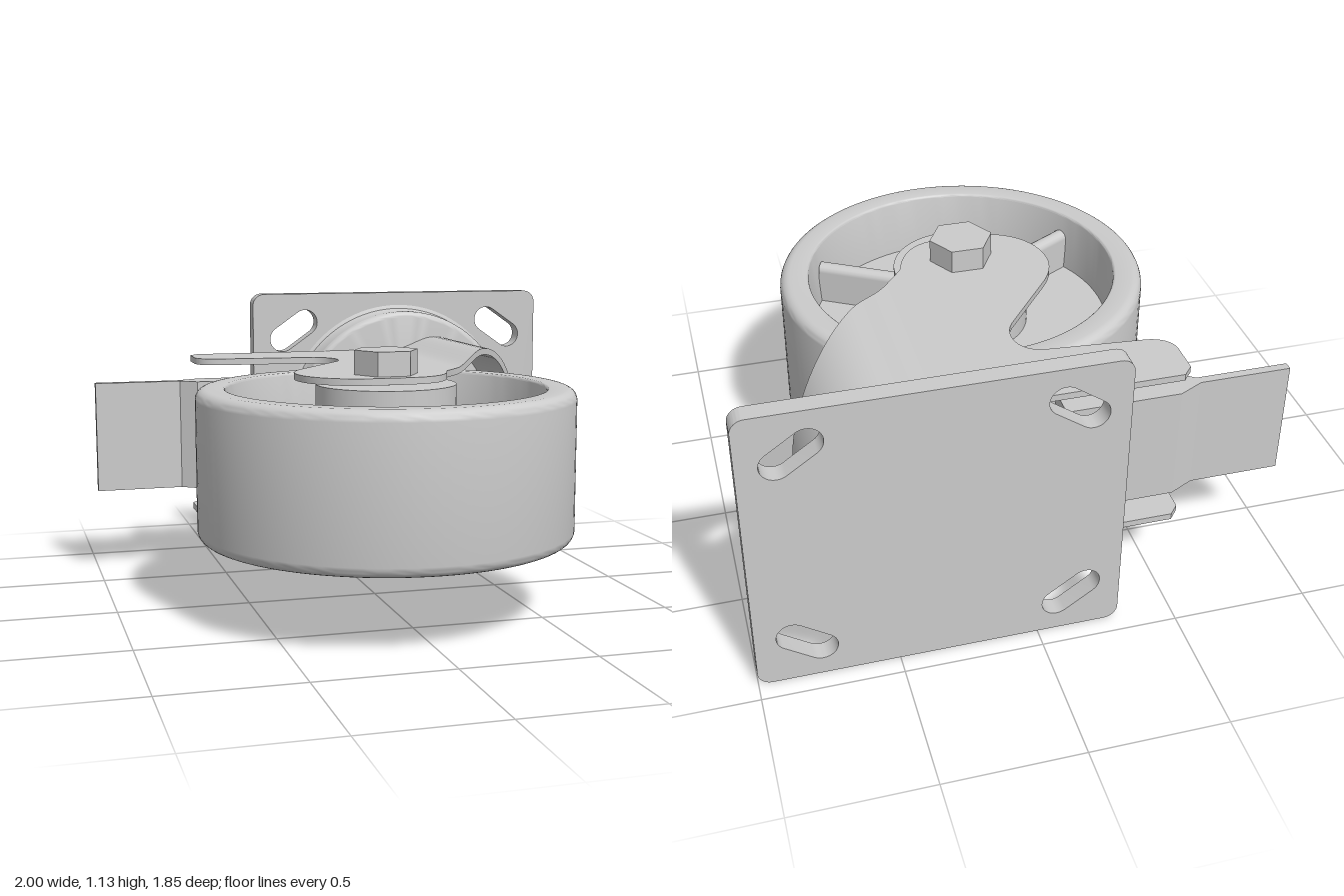
import * as THREE from 'three';
import { toCreasedNormals } from 'three/addons/utils/BufferGeometryUtils.js';

const MID = 0.565;                 // height of the symmetry plane
const AXLE = { x: -0.02, z: 0.22 };
const BACK = -0.74;                // rear edge of the fork
const SHEET = 0.025;

export function createModel() {
  const model = new THREE.Group();
  const material = new THREE.MeshStandardMaterial({ color: 0xcccccc });

  const add = (name, geometry, x = 0, y = 0, z = 0, parent = model) => {
    const mesh = new THREE.Mesh(geometry, material);
    mesh.name = name;
    mesh.position.set(x, y, z);
    parent.add(mesh);
    return mesh;
  };
  const lathe = (points, segments = 96) => toCreasedNormals(
    new THREE.LatheGeometry(points.map(p => new THREE.Vector2(...p)), segments), 0.6);
  // Quarter round from angle a0 to a1 (degrees)
  const arc = (cx, cy, r, a0, a1, n = 6) => Array.from({ length: n + 1 }, (_, i) => {
    const a = THREE.MathUtils.degToRad(a0 + (a1 - a0) * i / n);
    return [cx + r * Math.cos(a), cy + r * Math.sin(a)];
  });

  // Mounting plate with four slanted slots
  const w = 0.65, h = 0.565, r = 0.05;
  const plate = new THREE.Shape();
  plate.absarc(w - r, h - r, r, 0, Math.PI / 2);
  plate.absarc(-w + r, h - r, r, Math.PI / 2, Math.PI);
  plate.absarc(-w + r, -h + r, r, Math.PI, Math.PI * 1.5);
  plate.absarc(w - r, -h + r, r, Math.PI * 1.5, Math.PI * 2);
  for (const sx of [-1, 1]) for (const sy of [-1, 1]) {
    const cx = 0.47 * sx, cy = 0.405 * sy, dx = 0.05, dy = -0.035 * sx * sy;
    const a = Math.atan2(dy, dx), slot = new THREE.Path();
    slot.absarc(cx + dx, cy + dy, 0.055, a - Math.PI / 2, a + Math.PI / 2);
    slot.absarc(cx - dx, cy - dy, 0.055, a + Math.PI / 2, a + Math.PI * 1.5);
    slot.closePath();
    plate.holes.push(slot);
  }
  add('mountingPlate', toCreasedNormals(new THREE.ExtrudeGeometry(plate,
    { depth: 0.07, bevelEnabled: false, curveSegments: 10 }), 0.6), 0.35, MID, -0.93);

  // Swivel bearing
  add('swivelBearing', lathe([[0, 0], [0.51, 0], [0.495, 0.005], [0.487, 0.02],
    ...arc(0.462, 0.095, 0.025, 0, 90), [0, 0.12]]), 0.35, MID, -0.86).rotation.x = Math.PI / 2;

  // Fork: two flat cheeks
  const fork = new THREE.Group();
  fork.name = 'fork';
  model.add(fork);
  const cutZ = x => -0.48 + (0.77 - x) * 1.228;   // slanted front edge
  const cheek = new THREE.Shape();
  cheek.moveTo(0.3, BACK);
  cheek.lineTo(0.3, cutZ(0.3));
  cheek.lineTo(0.23, cutZ(0.23));
  cheek.bezierCurveTo(0.19, 0.32, 0.13, 0.37, 0.02, 0.372);
  cheek.lineTo(-0.1, 0.372);
  cheek.bezierCurveTo(-0.24, 0.37, -0.34, 0.27, -0.34, 0.13);
  cheek.quadraticCurveTo(-0.34, 0.05, -0.28, -0.03);
  cheek.lineTo(-0.08, -0.28);
  cheek.bezierCurveTo(-0.03, -0.35, -0.05, -0.46, -0.15, -0.47);
  cheek.lineTo(-0.51, -0.503);
  cheek.quadraticCurveTo(-0.59, -0.515, -0.6, -0.58);
  cheek.lineTo(-0.6, -0.7);
  cheek.lineTo(-0.565, BACK);
  cheek.closePath();
  const cheekGeometry = toCreasedNormals(new THREE.ExtrudeGeometry(cheek,
    { depth: SHEET, bevelEnabled: false, curveSegments: 12 }).rotateX(Math.PI / 2), 0.6);
  add('upperCheek', cheekGeometry, 0, 0.89, 0, fork);
  add('lowerCheek', cheekGeometry, 0, 0.24 + SHEET, 0, fork);

  // Fork: bulged neck joining the cheeks, as outer/inner point pairs
  const half = [];
  for (let i = 0; i <= 12; i++) {
    const t = i / 12, x = 0.3 + 0.18 * t, y = 0.325 + 0.05 * t * t * (3 - 2 * t);
    half.push([x, y, x, y - SHEET]);
  }
  for (let i = 1; i <= 24; i++) {
    const a = Math.PI / 2 * (1 - i / 24), c = Math.cos(a), s = Math.sin(a);
    half.push([0.48 + 0.29 * c, 0.375 * s, 0.48 + 0.265 * c, 0.35 * s]);
  }
  const path = [...half, ...half.slice(0, -1).reverse().map(([a, b, c, d]) => [a, -b, c, -d])];
  const position = [], index = [];
  path.forEach(([ox, oy, ix, iy], i) => {
    position.push(ox, oy, BACK, ox, oy, cutZ(ox), ix, iy, cutZ(ix), ix, iy, BACK);
    if (i === path.length - 1) return;
    for (let k = 0; k < 4; k++) {
      const a = i * 4 + k, b = i * 4 + (k + 1) % 4;
      index.push(a, b, b + 4, a, b + 4, a + 4);
    }
  });
  const neck = new THREE.BufferGeometry();
  neck.setAttribute('position', new THREE.Float32BufferAttribute(position, 3));
  neck.setIndex(index);
  add('neck', toCreasedNormals(neck, 0.6), 0, MID, 0, fork);

  // Wheel: tread, rim, web and hub in one turned profile
  const wheel = new THREE.Group();
  wheel.name = 'wheel';
  wheel.position.set(AXLE.x, MID, AXLE.z);
  model.add(wheel);
  const top = [...arc(0.66, 0.24, 0.04, 0, 90), ...arc(0.6, 0.27, 0.01, 90, 180, 3),
    [0.575, 0.05], [0.26, 0.05], [0.26, 0.29], [0, 0.29]];
  const bottom = top.map(([x, y]) => [x, -y]).reverse();
  add('tyreAndRim', lathe([...bottom, ...top]), 0, 0, 0, wheel);

  // Three round-topped ribs on each side of the web
  for (const angle of [30, 150, 270]) {
    const spoke = new THREE.Group();
    spoke.name = 'rib';
    spoke.rotation.y = -THREE.MathUtils.degToRad(angle);
    wheel.add(spoke);
    add('ribWall', new THREE.BoxGeometry(0.33, 0.36, 0.06), 0.415, 0, 0, spoke);
    for (const side of [-1, 1]) {
      add('ribEdge', new THREE.CylinderGeometry(0.03, 0.03, 0.33, 16),
        0.415, 0.18 * side, 0, spoke).rotation.z = Math.PI / 2;
    }
  }

  // Axle bolt with hexagonal ends
  add('axle', new THREE.CylinderGeometry(0.07, 0.07, 0.7, 32), AXLE.x, MID, AXLE.z);
  for (const side of [-1, 1]) {
    const hex = new THREE.CylinderGeometry(0.122, 0.122, 0.095, 6).rotateY(Math.PI / 6);
    add(side > 0 ? 'boltHead' : 'nut', toCreasedNormals(hex, 0.5),
      AXLE.x, MID + side * 0.3675, AXLE.z);
  }

  // Brake pedal: thin tongue widening into a block between the cheeks
  const pedal = new THREE.Shape([[-1, -0.67], [-0.66, -0.67], [-0.57, -0.715], [-0.15, -0.715],
    [-0.15, -0.59], [-0.59, -0.59], [-0.655, -0.638], [-1, -0.638]]
    .map(p => new THREE.Vector2(...p)));
  add('brakePedal', new THREE.ExtrudeGeometry(pedal, { depth: 0.445, bevelEnabled: false })
    .rotateX(Math.PI / 2), 0, 0.79, 0);

  return model;
}
